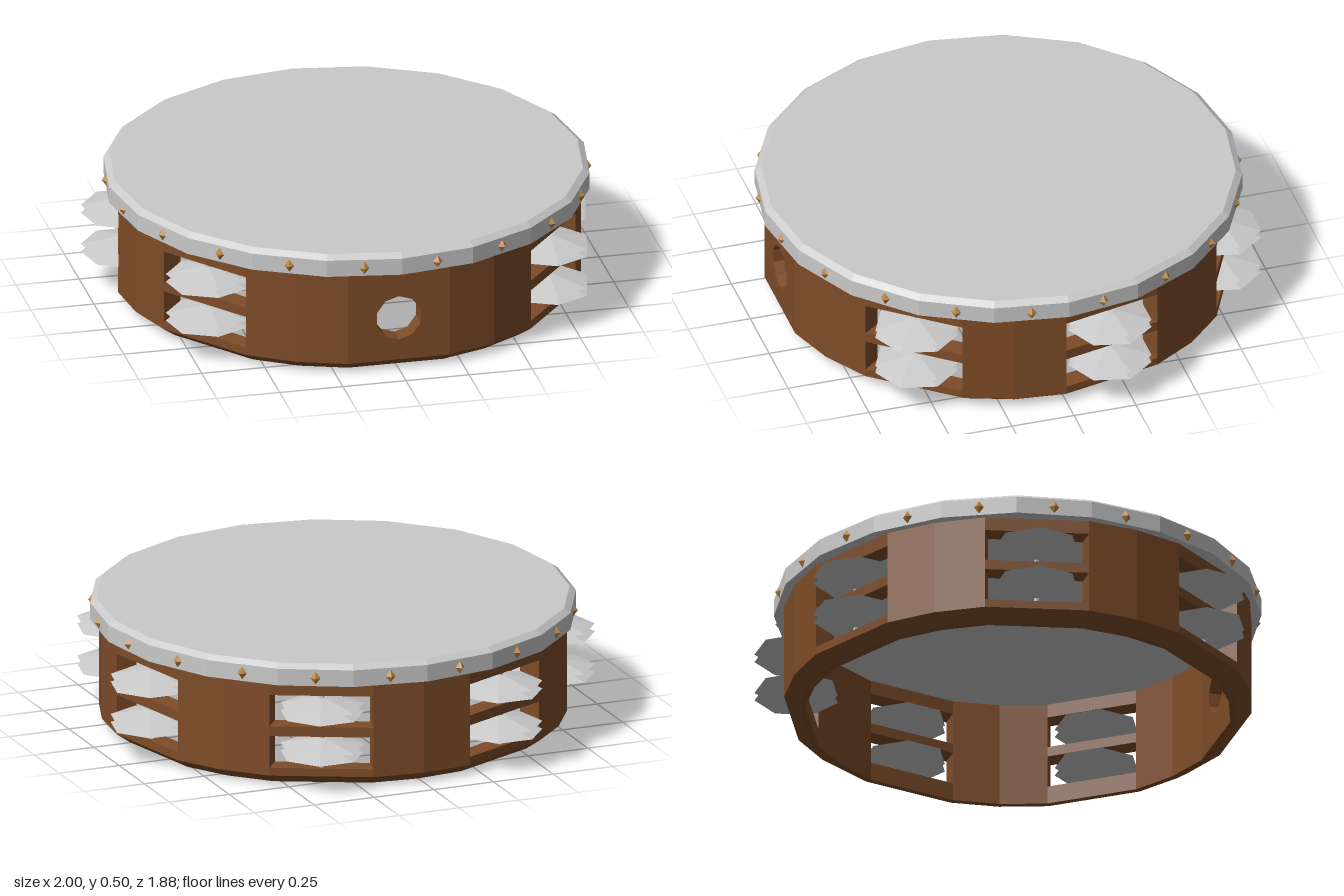
import * as THREE from 'three';
import { mergeGeometries } from 'three/addons/utils/BufferGeometryUtils.js';

const STATION = Math.PI * 2 / 7;   // six jingle slots and one thumb hole
const HALF = Math.PI / 14;         // half the angle of a flat panel
const R_OUT = 0.904, R_IN = 0.822, FRAME_TOP = 0.43;

const wood = new THREE.MeshStandardMaterial({ color: 0x7e4c28 });
wood.name = 'brown wood';
const pale = new THREE.MeshStandardMaterial({ color: 0xcacaca });
pale.name = 'pale grey';
const brass = new THREE.MeshStandardMaterial({ color: 0xc08a48 });
brass.name = 'brass';

// Faceted copy of a geometry
function faceted(geometry) {
  const g = geometry.index ? geometry.toNonIndexed() : geometry;
  g.computeVertexNormals();
  return g;
}

function addMesh(parent, name, geometry, material) {
  const mesh = new THREE.Mesh(faceted(geometry), material);
  mesh.name = name;
  parent.add(mesh);
  return mesh;
}

// Straight wall piece between two angles, with one row of corners per height
function wallPiece(a0, a1, heights) {
  const rows = heights.length - 1;
  const g = new THREE.BoxGeometry(1, 1, 1, 1, rows, 1);
  const p = g.attributes.position;
  for (let i = 0; i < p.count; i++) {
    const y = heights[Math.round((p.getY(i) + 0.5) * rows)];
    const a = p.getX(i) < 0 ? a0 : a1;
    const outer = y === 0 ? 0.847 : R_OUT; // bevelled bottom edge
    const r = p.getZ(i) > 0 ? outer : R_IN;
    p.setXYZ(i, r * Math.sin(a), y, r * Math.cos(a));
  }
  return g;
}

// Flat front panel with a ten-sided thumb hole
function thumbPanel(y0) {
  const shape = new THREE.Shape([
    new THREE.Vector2(-0.2, y0), new THREE.Vector2(0.2, y0),
    new THREE.Vector2(0.2, FRAME_TOP), new THREE.Vector2(-0.2, FRAME_TOP),
  ]);
  const hole = [];
  for (let i = 0; i < 10; i++) {
    const a = i * Math.PI / 5;
    hole.push(new THREE.Vector2(0.091 * Math.sin(a), 0.214 + 0.091 * Math.cos(a)));
  }
  shape.holes.push(new THREE.Path(hole));
  const g = new THREE.ExtrudeGeometry(shape, {
    depth: (R_OUT - R_IN) * Math.cos(HALF), bevelEnabled: false,
  });
  g.translate(0, 0, R_IN * Math.cos(HALF));
  // Mitre the ends to meet the neighbouring pieces
  const p = g.attributes.position;
  for (let i = 0; i < p.count; i++) {
    const x = p.getX(i);
    if (Math.abs(x) > 0.15) p.setX(i, Math.sign(x) * p.getZ(i) * Math.tan(HALF));
  }
  return g;
}

export function createModel() {
  const model = new THREE.Group();
  model.name = 'tambourine';

  // Wooden frame: flat panels alternating with two-sided curved pieces
  const pieces = [];
  for (let k = 0; k < 7; k++) {
    const a = k * STATION;
    pieces.push(wallPiece(a - HALF, a + HALF, [0, 0.04, 0.072]));
    if (k === 0) {
      pieces.push(thumbPanel(0.072));
    } else {
      pieces.push(wallPiece(a - HALF, a + HALF, [0.2, 0.24]));
      pieces.push(wallPiece(a - HALF, a + HALF, [0.366, FRAME_TOP]));
    }
    for (let j = 1; j < 3; j++) {
      pieces.push(wallPiece(a + HALF * j, a + HALF * (j + 1), [0, 0.04, FRAME_TOP]));
    }
  }
  addMesh(model, 'frame', mergeGeometries(pieces.map(faceted)), wood);

  // Drum head with bevelled rim
  const headProfile = [[0, 0.42], [0.94, 0.42], [0.94, 0.487], [0.915, 0.505], [0, 0.505]]
    .map(([x, y]) => new THREE.Vector2(x, y));
  addMesh(model, 'drumHead', new THREE.LatheGeometry(headProfile, 20), pale);

  // Jingles: two cymbal pairs on a pin in each slot
  const cymbalProfile = [[0, -0.05], [0.02, -0.05], [0.165, -0.016], [0.1, 0],
    [0.165, 0.016], [0.02, 0.05], [0, 0.05]].map(([x, y]) => new THREE.Vector2(x, y));
  for (let k = 1; k < 7; k++) {
    const station = new THREE.Group();
    station.name = 'jingleStation';
    station.position.set(0.86 * Math.sin(k * STATION), 0, 0.86 * Math.cos(k * STATION));
    for (const y of [0.141, 0.304]) {
      addMesh(station, 'cymbalPair', new THREE.LatheGeometry(cymbalProfile, 7), pale).position.y = y;
    }
    addMesh(station, 'jinglePin', new THREE.CylinderGeometry(0.01, 0.01, 0.31, 6), pale).position.y = 0.22;
    model.add(station);
  }

  // Studs around the rim, one per facet
  for (let i = 0; i < 20; i++) {
    const a = (i + 0.5) * Math.PI / 10;
    const r = 0.94 * Math.cos(Math.PI / 20);
    const stud = addMesh(model, 'stud', new THREE.OctahedronGeometry(0.026), brass);
    stud.scale.set(0.75, 1, 0.7);
    stud.position.set(r * Math.sin(a), 0.453, r * Math.cos(a));
    stud.rotation.y = a;
  }
  return model;
}
